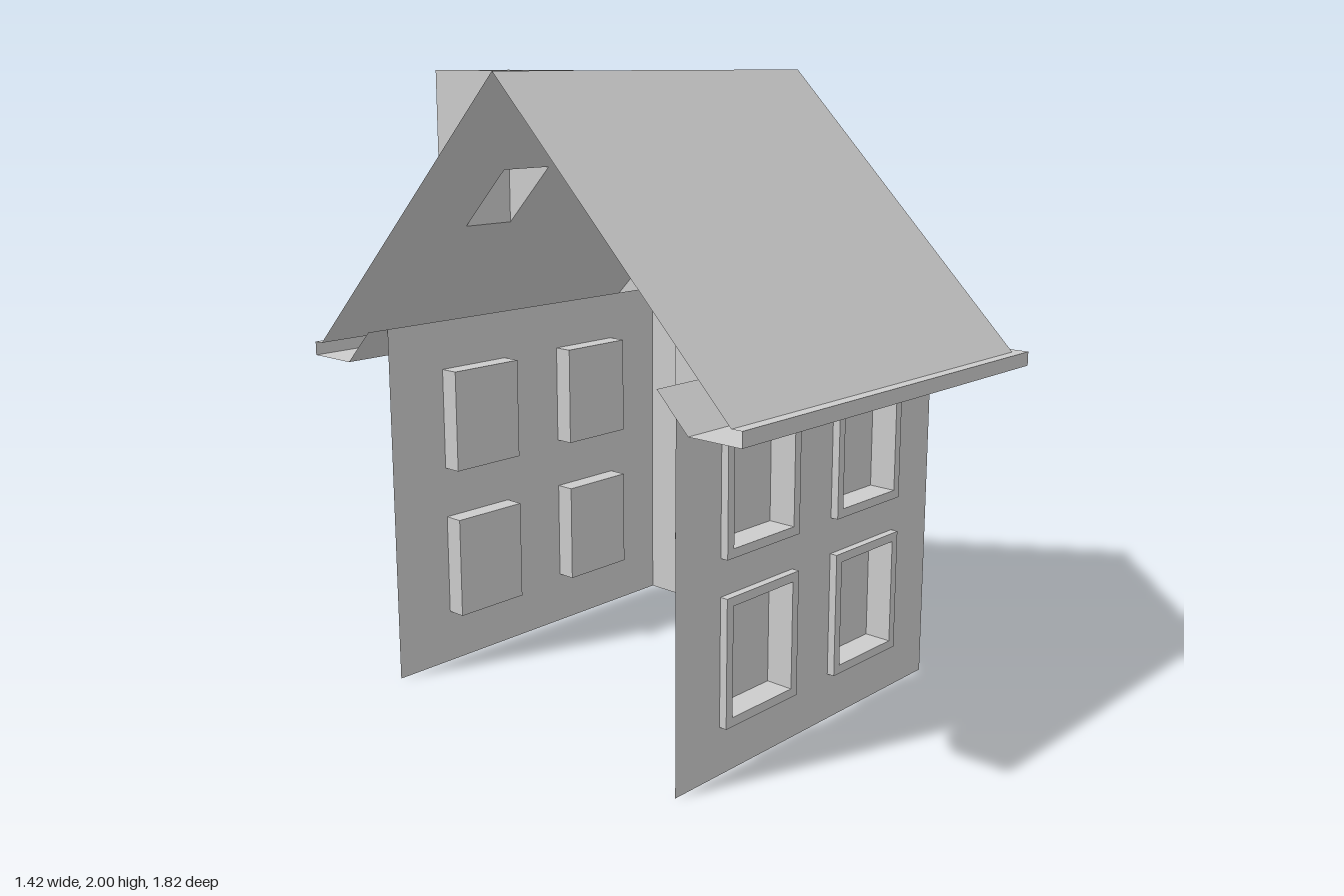
import * as THREE from 'three';

const material = new THREE.MeshStandardMaterial({ color: 0xcccccc, side: THREE.DoubleSide, flatShading: true });
const MID = -0.005; // z of the ridge
const LEFT_END = -0.715, ROOF_END = 0.67, TRIM_END = 0.71, GABLE = 0.6, HALF = 0.62;

function add(parent, name, geometry) {
  const mesh = new THREE.Mesh(geometry, material);
  mesh.name = name;
  parent.add(mesh);
  return mesh;
}

const v2 = (pts) => pts.map(([x, y]) => new THREE.Vector2(x, y));
const rect = (x0, y0, x1, y1) => [[x0, y0], [x1, y0], [x1, y1], [x0, y1]];
const octagon = (cx, cy, r) => Array.from({ length: 8 }, (_, i) =>
  [cx + r * Math.cos(i * Math.PI / 4), cy + r * Math.sin(i * Math.PI / 4)]);

function shapeOf(outline, holes = []) {
  const shape = new THREE.Shape(v2(outline));
  holes.forEach((h) => shape.holes.push(new THREE.Path(v2(h))));
  return shape;
}

const extrude = (outline, holes, depth) =>
  new THREE.ExtrudeGeometry(shapeOf(outline, holes), { depth, bevelEnabled: false });

// Flat sheet whose corners are placed by a rule (u, v) -> [x, y, z]
function sheet(outline, holes, rule) {
  const g = new THREE.ShapeGeometry(shapeOf(outline, holes));
  const p = g.attributes.position;
  for (let i = 0; i < p.count; i++) p.setXYZ(i, ...rule(p.getX(i), p.getY(i)));
  g.computeVertexNormals();
  return g;
}

// Open strip: a polyline in x, y swept from depth d0 to d1 along z
function ribbon(pts, d0, d1) {
  const a = [];
  for (let i = 0; i < pts.length - 1; i++) {
    const [x0, y0] = pts[i], [x1, y1] = pts[i + 1];
    a.push(x0, y0, d0, x1, y1, d0, x1, y1, d1, x0, y0, d0, x1, y1, d1, x0, y0, d1);
  }
  const g = new THREE.BufferGeometry();
  g.setAttribute('position', new THREE.Float32BufferAttribute(a, 3));
  g.computeVertexNormals();
  return g;
}

// Wall with framed, recessed openings; built facing +z
function wall(name, outline, openings) {
  const g = new THREE.Group();
  g.name = name;
  add(g, name + 'Panel', sheet(outline, openings.map((o) => o.inner), (x, y) => [x, y, 0]));
  openings.forEach(({ part, outer, inner, recess = 0.065, proud = 0.025 }) => {
    add(g, part + 'Frame', extrude(outer, [inner], proud));
    add(g, part + 'Reveal', ribbon([...inner, inner[0]], -recess, 0));
    add(g, part + 'Pane', sheet(inner, [], (x, y) => [x, y, -recess]));
  });
  return g;
}

function windowAt(x0, y0, x1, y1, t = 0.028) {
  return { part: 'window', outer: rect(x0, y0, x1, y1), inner: rect(x0 + t, y0 + t, x1 - t, y1 - t) };
}

export function createModel() {
  const house = new THREE.Group();
  house.name = 'house';

  // Long walls with four windows each
  for (const side of [1, -1]) {
    const openings = [];
    for (const [a, b] of [[-0.45, -0.12], [0.07, 0.4]])
      for (const y of [0.15, 0.66])
        openings.push(windowAt(Math.min(a * side, b * side), y, Math.max(a * side, b * side), y + 0.395));
    const [l, r] = side > 0 ? [-0.64, GABLE] : [-GABLE, 0.64];
    const w = wall(side > 0 ? 'frontWall' : 'backWall', rect(l, 0, r, 1.19), openings);
    w.position.z = MID + side * HALF;
    if (side < 0) w.rotation.y = Math.PI;
    house.add(w);
  }

  // Gable wall with door, windows and round attic window
  const gable = wall('gableWall', [[-HALF, 0], [HALF, 0], [HALF, 1.19], [0, 1.81], [-HALF, 1.19]], [
    windowAt(-0.445, 0.72, -0.095, 1.14),
    windowAt(0.105, 0.72, 0.47, 1.14),
    windowAt(0.105, 0.22, 0.47, 0.525),
    { part: 'door', outer: rect(-0.44, 0, -0.135, 0.65), inner: rect(-0.415, 0.002, -0.16, 0.625) },
    { part: 'atticWindow', outer: octagon(0, 1.445, 0.118), inner: octagon(0, 1.445, 0.094), recess: 0.03, proud: 0.02 },
  ]);
  for (const [w, h] of [[0.18, 0.018], [0.018, 0.18]])
    add(gable, 'atticWindowBar', new THREE.BoxGeometry(w, h, 0.04)).position.set(0, 1.445, -0.01);
  gable.rotation.y = Math.PI / 2;
  gable.position.set(GABLE, 0, MID);
  house.add(gable);

  // Chimney square, in x and z
  const cx = -0.318, cz = -0.4, outer = 0.152, inner = 0.094;

  // Roof slopes and eaves, mirrored about the ridge
  for (const side of [1, -1]) {
    const label = side > 0 ? 'front' : 'back';
    const flue = side < 0
      ? [rect(cx - inner, MID - cz - inner, cx + inner, MID - cz + inner)] : [];
    add(house, label + 'RoofSlope', sheet(rect(LEFT_END, 0, ROOF_END, 0.875), flue,
      (x, s) => [x, 2 - s, MID + side * s]));

    // Eave profile in (distance from ridge, height), swept along x
    const eave = [[0.875, 1.125], [0.91, 1.125], [0.91, 1.08], [0.73, 1.08], [HALF, 1.19]];
    const strip = ribbon(eave.map(([s, y]) => [-side * s, y]), LEFT_END, TRIM_END).rotateY(Math.PI / 2);
    add(house, label + 'Eave', strip.translate(0, 0, MID));
    add(house, label + 'EaveEnd', sheet([[0.735, 1.125], [0.73, 1.08], [0.91, 1.08], [0.91, 1.125]], [],
      (s, y) => [TRIM_END, y, MID + side * s]));
    add(house, label + 'EaveEndTop', sheet(rect(ROOF_END, 0.735, TRIM_END, 0.91), [],
      (x, s) => [x, 1.125, MID + side * s]));
  }

  // Gable edge of the roof and the trim board below it
  add(house, 'roofEdge', sheet(
    [[-0.875, 1.125], [-0.735, 1.125], [0, 1.86], [0.735, 1.125], [0.875, 1.125], [0, 2]], [],
    (s, y) => [ROOF_END, y, MID + s]));
  const trim = extrude(
    [[-0.735, 1.125], [-0.73, 1.08], [0, 1.81], [0.73, 1.08], [0.735, 1.125], [0, 1.86]], [], TRIM_END - GABLE);
  add(house, 'gableTrim', trim.rotateY(Math.PI / 2).translate(GABLE, 0, MID));

  // Hollow chimney, its foot cut to the roof slope
  const stack = extrude(rect(-outer, -outer, outer, outer), [rect(-inner, -inner, inner, inner)], 1);
  stack.rotateX(-Math.PI / 2).translate(cx, 1, cz);
  const p = stack.attributes.position;
  for (let i = 0; i < p.count; i++)
    if (p.getY(i) < 1.5) p.setY(i, 2 - (MID - p.getZ(i)));
  stack.computeVertexNormals();
  add(house, 'chimney', stack);

  return house;
}
